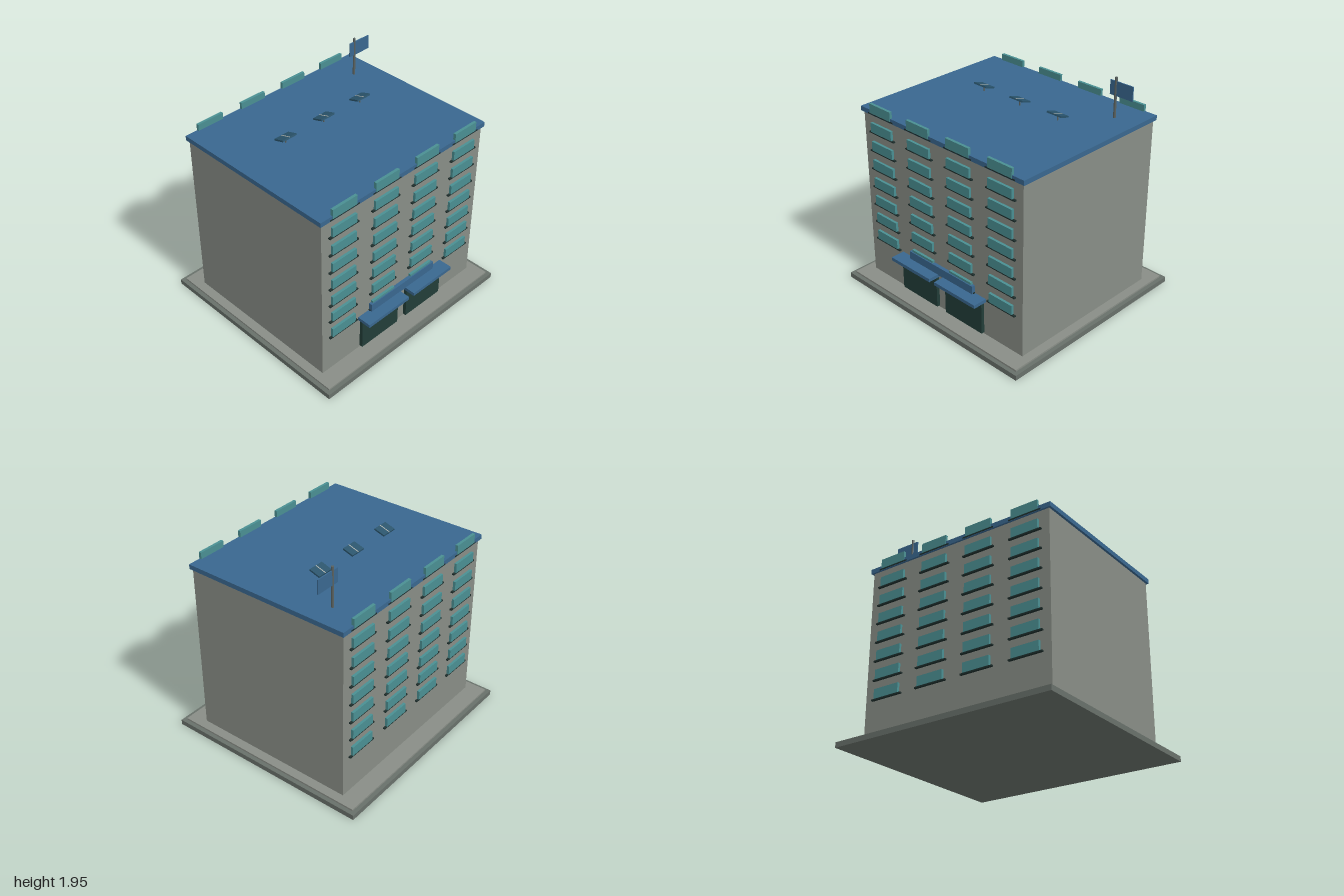
import * as THREE from 'three';

const mat = (color) => new THREE.MeshStandardMaterial({ color });

export function createModel() {
  const model = new THREE.Group();
  const wall = mat(0x888d86), stone = mat(0x68706a), paving = mat(0x888d86);
  const blue = mat(0x39678f), glass = mat(0x4a8f92), dark = mat(0x223d38);
  const sillDark = mat(0x1e2f2d), metal = mat(0x5a6260), panelBlue = mat(0x29536b), pale = mat(0xb4b8b2);

  // Box given by its minimum and maximum corners
  const box = (name, material, x0, x1, y0, y1, z0, z1, parent = model) => {
    const mesh = new THREE.Mesh(new THREE.BoxGeometry(x1 - x0, y1 - y0, z1 - z0), material);
    mesh.position.set((x0 + x1) / 2, (y0 + y1) / 2, (z0 + z1) / 2);
    mesh.name = name;
    parent.add(mesh);
    return mesh;
  };
  const post = (name, material, r, x, y0, y1, z, parent = model) => {
    const mesh = new THREE.Mesh(new THREE.CylinderGeometry(r, r, y1 - y0, 12), material);
    mesh.position.set(x, (y0 + y1) / 2, z);
    mesh.name = name;
    parent.add(mesh);
  };

  // Stepped base, main block and roof slab
  box('baseSlab', stone, -1, 1, 0, 0.045, -0.93, 0.93);
  box('pavement', paving, -0.965, 0.965, 0.045, 0.06, -0.895, 0.895);
  box('building', wall, -0.885, 0.885, 0.06, 1.57, -0.74, 0.74);
  box('roof', blue, -0.905, 0.905, 1.567, 1.608, -0.757, 0.757);

  // Window grid on the front and the back
  for (const side of [1, -1]) {
    const facade = new THREE.Group();
    facade.name = side > 0 ? 'frontWindows' : 'backWindows';
    if (side < 0) facade.rotation.y = Math.PI;
    for (let row = 0; row < 8; row++) {
      const y = 0.398 + row * 0.1675;
      for (const x of [-0.665, -0.222, 0.222, 0.665]) {
        box('window', glass, x - 0.124, x + 0.124, y + 0.012, y + 0.094, 0.738, 0.762, facade);
        box('windowSill', sillDark, x - 0.15, x + 0.15, y, y + 0.012, 0.735, 0.759, facade);
      }
    }
    model.add(facade);
  }

  // Two entrances with canopies and a shared board above
  for (const s of [-1, 1]) {
    const x = s * 0.26;
    box('entranceDoor', dark, x - 0.209, x + 0.209, 0.073, 0.37, 0.735, 0.77);
    box('entranceCanopy', blue, x - 0.23, x + 0.23, 0.37, 0.4, 0.735, 0.865);
  }
  box('entranceBoard', blue, -0.368, 0.368, 0.395, 0.472, 0.735, 0.771);

  // Tilted solar panels on short posts
  for (const x of [-0.41, 0, 0.406]) {
    const solar = new THREE.Group();
    solar.name = 'solarPanel';
    post('panelPost', metal, 0.006, 0, 1.605, 1.655, 0, solar);
    const tilt = new THREE.Group();
    tilt.name = 'panelTop';
    tilt.position.y = 1.659;
    tilt.rotation.x = -0.31;
    box('panelPlate', panelBlue, -0.072, 0.072, -0.007, 0.007, -0.05, 0.05, tilt);
    box('panelStrip', pale, -0.004, 0.004, 0.004, 0.0085, -0.05, 0.05, tilt);
    solar.add(tilt);
    solar.position.set(x, 0, -0.143);
    model.add(solar);
  }

  // Flagpole and flag
  post('flagpole', metal, 0.011, 0.692, 1.605, 1.95, -0.49);
  box('flag', blue, 0.638, 0.86, 1.795, 1.917, -0.495, -0.485);

  return model;
}
